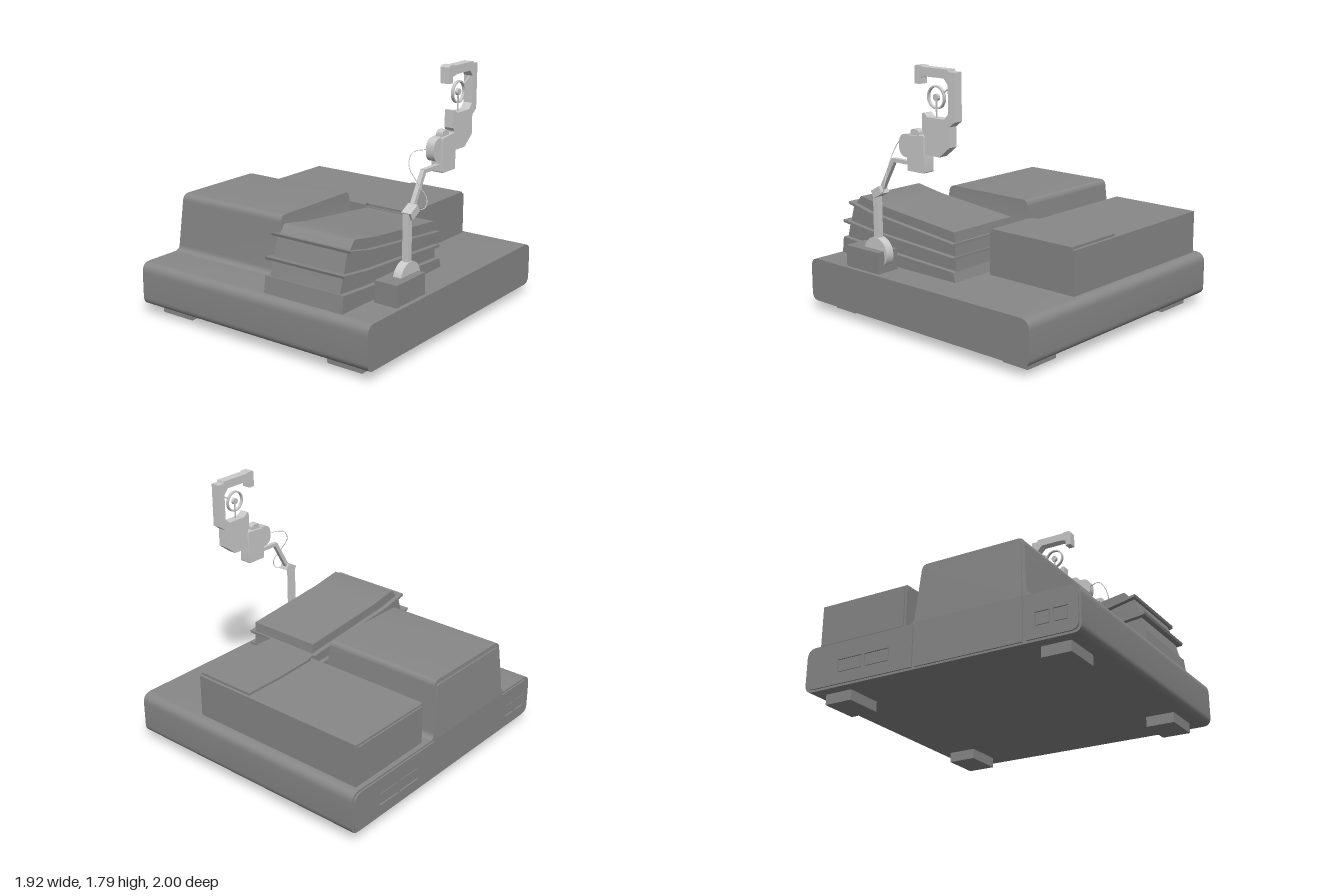
import * as THREE from 'three';
import { toCreasedNormals } from 'three/addons/utils/BufferGeometryUtils.js';

const darkGrey = new THREE.MeshStandardMaterial({ color: 0x888888 });
const lightGrey = new THREE.MeshStandardMaterial({ color: 0xcccccc });

// Outline from [a, b, cornerRadius] points, counter-clockwise
function outline(points) {
  const shape = new THREE.Shape();
  const n = points.length;
  points.forEach(([a, b, r = 0], i) => {
    const p = new THREE.Vector2(a, b);
    const toward = (q) => new THREE.Vector2(q[0], q[1]).sub(p).setLength(r).add(p);
    const from = toward(points[(i + n - 1) % n]);
    const to = toward(points[(i + 1) % n]);
    if (i === 0) shape.moveTo(from.x, from.y);
    else shape.lineTo(from.x, from.y);
    if (r) shape.quadraticCurveTo(p.x, p.y, to.x, to.y);
  });
  shape.closePath();
  return shape;
}

// Side profile of [z, y, radius] points, extruded from x0 to x1, with optional holes
function sideProfile(points, x0, x1, holes = []) {
  const shape = outline(points);
  shape.holes = holes.map(outline);
  return new THREE.ExtrudeGeometry(shape, { depth: x1 - x0, bevelEnabled: false, curveSegments: 8 })
    .rotateY(-Math.PI / 2).translate(x1, 0, 0);
}

function boxBetween(x0, x1, y0, y1, z0, z1) {
  return new THREE.BoxGeometry(x1 - x0, y1 - y0, z1 - z0)
    .translate((x0 + x1) / 2, (y0 + y1) / 2, (z0 + z1) / 2);
}

function moveVertices(geometry, rule) {
  const pos = geometry.attributes.position;
  const v = new THREE.Vector3();
  for (let i = 0; i < pos.count; i++) {
    rule(v.fromBufferAttribute(pos, i));
    pos.setXYZ(i, v.x, v.y, v.z);
  }
  return geometry;
}

export function createModel() {
  const model = new THREE.Group();
  const add = (name, geometry, parent = model, material = darkGrey) => {
    const mesh = new THREE.Mesh(toCreasedNormals(geometry, 0.5), material);
    mesh.name = name;
    parent.add(mesh);
    return mesh;
  };
  const group = (name) => {
    const g = new THREE.Group();
    g.name = name;
    model.add(g);
    return g;
  };

  // Base slab with rounded front and back edges, on four feet
  add('base', sideProfile([[-1, 0.07, 0.06], [1, 0.07, 0.06], [1, 0.375, 0.07], [-1, 0.375, 0.07]], -0.95, 0.96));
  for (const x of [-0.735, 0.705]) {
    for (const z of [-0.79, 0.79]) {
      add('foot', boxBetween(x - 0.135, x + 0.135, 0, 0.075, z - 0.1, z + 0.1));
    }
  }

  // Tall housing: flared foot, and both ends leaning inward
  const leanEnds = (v) => {
    const t = Math.max(0, (v.y - 0.375) / 0.41);
    const flare = 0.02 * Math.max(0, 1 - t * 9) ** 2;
    v.x += v.x < -0.5 ? 0.03 * t : -0.03 * t + flare;
  };
  add('tallHousing', moveVertices(sideProfile([
    [0.68, 0.374], [0.642, 0.385, 0.03], [0.61, 0.785, 0.05],
    [-0.135, 0.785, 0.04], [-0.162, 0.385, 0.03], [-0.2, 0.374],
  ], -0.95, 0), leanEnds));

  // Right end: raised plates with seams between them and small panels let in
  const end = group('rightEnd');
  add('housingPanel', moveVertices(sideProfile([
    [0.615, 0.375], [0.59, 0.755, 0.02], [-0.12, 0.755, 0.02], [-0.145, 0.375],
  ], -0.96, -0.945), leanEnds), end);
  add('lowerPanel', boxBetween(-0.96, -0.945, 0.083, 0.375, -0.145, 0.615), end);
  const rectangle = (z0, z1, y0, y1) => [[z0, y0], [z1, y0], [z1, y1], [z0, y1]];
  const endPlates = [
    [[[-0.985, 0.085, 0.055], [-0.165, 0.085], [-0.165, 0.362], [-0.985, 0.362, 0.065]], [[-0.74, -0.55], [-0.53, -0.34]]],
    [[[0.64, 0.085], [0.985, 0.085, 0.055], [0.985, 0.362, 0.065], [0.64, 0.362]], [[0.7, 0.8], [0.82, 0.92]]],
  ];
  for (const [points, spans] of endPlates) {
    add('endPlate', sideProfile(points, -0.96, -0.945, spans.map(([z0, z1]) => rectangle(z0, z1, 0.16, 0.25))), end);
    for (const [z0, z1] of spans) {
      add('smallPanel', boxBetween(-0.957, -0.945, 0.168, 0.242, z0 + 0.008, z1 - 0.008), end);
    }
  }

  // Rear cabinet with a step at the left and a thin lid
  const cabinet = group('rearCabinet');
  add('cabinetBox', boxBetween(-0.915, 0.44, 0.37, 0.675, -0.925, -0.25), cabinet);
  add('cabinetPanel', boxBetween(-0.925, -0.91, 0.39, 0.66, -0.91, -0.265), cabinet);
  const plan = (points, y0, y1) => new THREE.ExtrudeGeometry(outline(points), { depth: y1 - y0, bevelEnabled: false })
    .rotateX(-Math.PI / 2).translate(0, y0, 0);
  add('cabinetStep', boxBetween(0.06, 0.44, 0.37, 0.675, -0.3, -0.215), cabinet);
  add('cabinetLid', plan([
    [0, 0.905], [0, 0.62], [0.02, 0.28, 0.03], [0.06, 0.23, 0.03], [0.44, 0.23], [0.44, 0.905],
  ], 0.665, 0.692), cabinet);

  // Slanting stack: blocks separated by wider thin plates
  const stack = group('slantedStack');
  add('stackFoot', sideProfile([
    [0.94, 0.375], [0.925, 0.49], [0.65, 0.472], [-0.15, 0.44], [-0.17, 0.375],
  ], 0.1, 0.725), stack);
  add('lowerBlock', sideProfile([
    [0.915, 0.488], [0.885, 0.6], [0.65, 0.575], [-0.14, 0.53], [-0.15, 0.43], [0.65, 0.46],
  ], 0.135, 0.69), stack);
  add('upperBlock', sideProfile([
    [0.88, 0.6], [0.84, 0.74], [0.65, 0.71], [-0.135, 0.62], [-0.145, 0.52], [0.65, 0.57],
  ], 0.135, 0.69), stack);
  add('topBlock', sideProfile([
    [0.82, 0.74], [0.77, 0.803, 0.01], [0.54, 0.765], [-0.13, 0.7], [-0.14, 0.61], [0.65, 0.7],
  ], 0.135, 0.69), stack);
  for (const [front, middle, back, z] of [[0.615, 0.583, 0.538, 0.925], [0.757, 0.712, 0.63, 0.86]]) {
    add('plate', sideProfile([
      [z, front], [0.65, middle], [-0.15, back],
      [-0.15, back - 0.018], [0.65, middle - 0.018], [z - 0.005, front - 0.018],
    ], 0.1, 0.725), stack);
  }

  // Jointed arm, lighter than its mount
  const arm = group('arm');
  const cx = 0.845;
  const addArm = (name, geometry) => add(name, geometry, arm, lightGrey);
  const rodBetween = (name, a, b, width, depth) => {
    const start = new THREE.Vector3(...a), finish = new THREE.Vector3(...b);
    const mesh = addArm(name, new THREE.BoxGeometry(width, start.distanceTo(finish), depth));
    mesh.position.copy(start).lerp(finish, 0.5);
    mesh.quaternion.setFromUnitVectors(new THREE.Vector3(0, 1, 0), finish.sub(start).normalize());
  };
  const disc = (name, radius, width, y, z) =>
    addArm(name, new THREE.CylinderGeometry(radius, radius, width, 32).rotateZ(Math.PI / 2).translate(cx, y, z));

  add('armMount', boxBetween(0.76, 0.93, 0.37, 0.522, 0.34, 0.655), arm);
  disc('basePivot', 0.11, 0.06, 0.495, 0.425);
  rodBetween('post', [cx, 0.5, 0.425], [cx, 0.92, 0.425], 0.045, 0.04);
  const elbow = addArm('elbow', new THREE.BoxGeometry(0.07, 0.055, 0.09));
  elbow.position.set(0.848, 0.92, 0.395);
  elbow.rotation.x = 0.5;
  rodBetween('forearm', [cx, 0.92, 0.385], [cx, 1.155, 0.252], 0.03, 0.03);
  rodBetween('wrist', [cx, 1.153, 0.26], [cx, 1.153, 0.08], 0.03, 0.025);

  // Head block with its round motor and knob
  addArm('headBlock', sideProfile([
    [0.09, 1.11, 0.01], [0.09, 1.34, 0.01], [-0.062, 1.352, 0.01], [-0.062, 1.11, 0.01],
  ], 0.8, 0.885));
  addArm('motor', sideProfile([
    [0.08, 1.19], [0.177, 1.19, 0.07], [0.177, 1.343, 0.07], [0.08, 1.343],
  ], 0.812, 0.872));
  addArm('knob', sideProfile([
    [0.072, 1.34], [0.072, 1.382, 0.025], [-0.002, 1.382, 0.025], [-0.002, 1.34],
  ], 0.82, 0.87));

  // C-shaped frame holding a spoked ring
  addArm('hookFrame', sideProfile([
    [0.02, 1.78], [0.01, 1.792], [-0.04, 1.792], [-0.045, 1.785], [-0.27, 1.785], [-0.275, 1.77], [-0.325, 1.77],
    [-0.325, 1.465], [-0.278, 1.43], [-0.278, 1.3], [-0.19, 1.23], [-0.055, 1.23],
    [-0.055, 1.36], [-0.042, 1.38], [-0.042, 1.495], [-0.06, 1.497], [-0.09, 1.473],
    [-0.235, 1.473], [-0.27, 1.51], [-0.27, 1.69], [-0.235, 1.727], [-0.075, 1.727], [-0.025, 1.715], [-0.025, 1.675], [0.02, 1.675],
  ], 0.81, 0.875));
  const ring = new THREE.Shape().absarc(0, 0, 0.074, 0, Math.PI * 2);
  ring.holes.push(new THREE.Path().absarc(0, 0, 0.064, 0, Math.PI * 2, true));
  addArm('ring', new THREE.ExtrudeGeometry(ring, { depth: 0.02, bevelEnabled: false, curveSegments: 32 })
    .rotateY(-Math.PI / 2).translate(cx + 0.01, 1.6, -0.142));
  disc('hub', 0.022, 0.02, 1.6, -0.142);
  rodBetween('ringStem', [cx, 1.465, -0.142], [cx, 1.6, -0.142], 0.008, 0.008);
  rodBetween('ringStay', [cx, 1.636, -0.205], [cx, 1.678, -0.275], 0.008, 0.008);

  // Loose cable from motor to elbow
  const path = new THREE.CatmullRomCurve3([
    [0.82, 1.275, 0.17], [0.775, 1.265, 0.275], [0.785, 1.19, 0.325], [0.845, 1.09, 0.318],
    [0.9, 0.99, 0.292], [0.9, 0.935, 0.31], [0.87, 0.925, 0.375],
  ].map((p) => new THREE.Vector3(...p)));
  addArm('cable', new THREE.TubeGeometry(path, 48, 0.0028, 8));

  return model;
}
